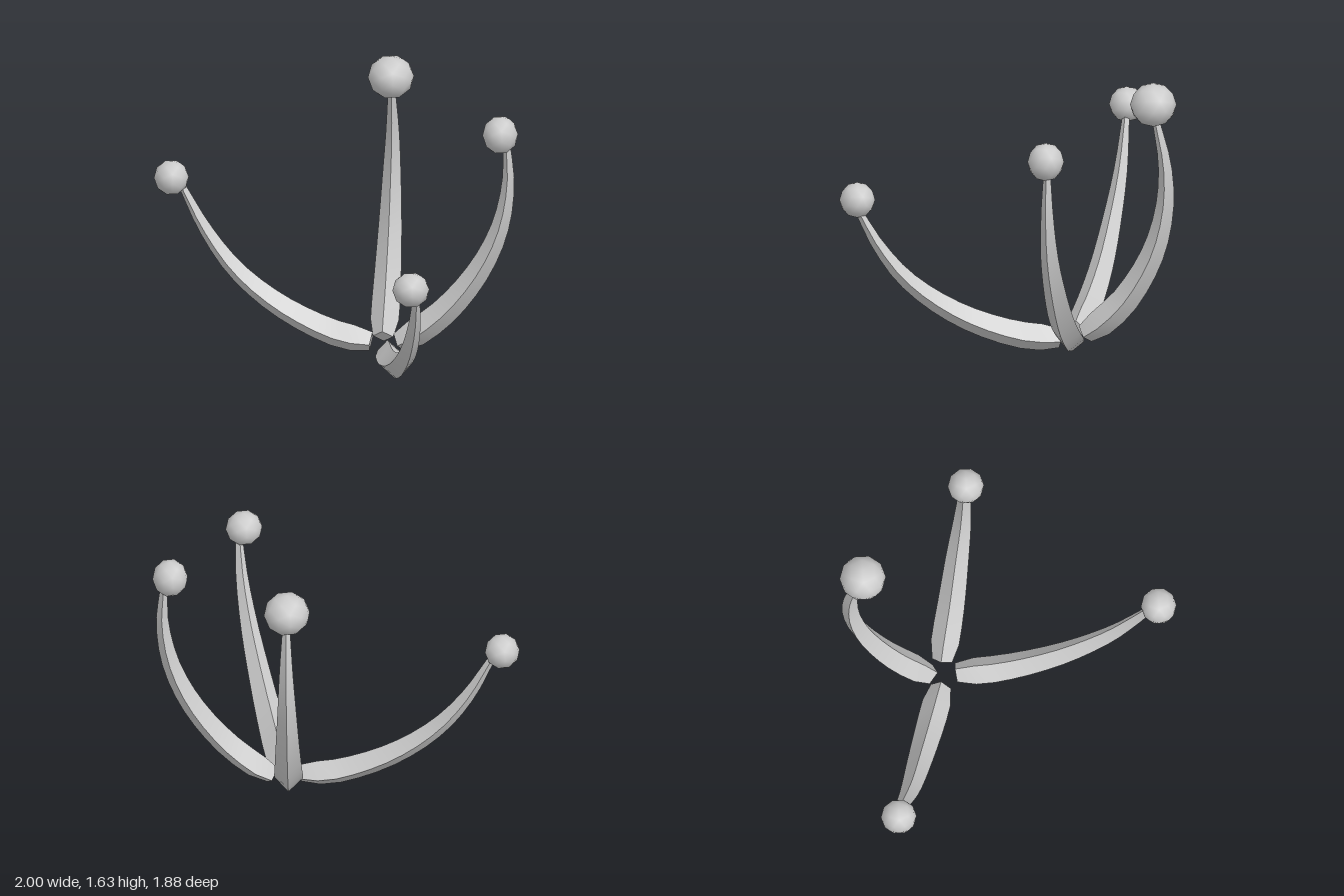
import * as THREE from 'three';

const material = new THREE.MeshStandardMaterial({ color: 0xcccccc });
const UP = new THREE.Vector3(0, 1, 0);
const RINGS = 14;

// Half thickness along a stalk: slightly pinched root, long taper to the tip
const halfWidth = (t) => (0.02 + 0.064 * (1 - Math.pow(t, 1.5))) * Math.min(1, 0.68 + t * 4);

// Tapered stalk with a diamond cross-section: sharp ridges, smooth along its length
function stalkGeometry(points) {
  const curve = new THREE.CatmullRomCurve3(points.map((p) => new THREE.Vector3(...p)));
  const along = points.at(-1).map((v, i) => v - points[0][i]);
  const side = UP.clone().cross(new THREE.Vector3(along[0], 0, along[2])).normalize();

  const rings = [];
  for (let i = 0; i <= RINGS; i++) {
    const t = i / RINGS;
    const centre = curve.getPointAt(t);
    const tangent = curve.getTangentAt(t);
    const normal = side.clone().cross(tangent).normalize();
    const r = halfWidth(t);
    rings.push([0, 1, 2, 3].map((k) => {
      const a = (k * Math.PI) / 2;
      return centre.clone()
        .addScaledVector(normal, r * Math.cos(a))
        .addScaledVector(side, r * Math.sin(a));
    }));
  }

  const positions = [];
  const index = [];
  // Four separate strips keep the ridges crisp
  for (let k = 0; k < 4; k++) {
    const base = positions.length / 3;
    rings.forEach((ring) => positions.push(...ring[k].toArray(), ...ring[(k + 1) % 4].toArray()));
    for (let i = 0; i < RINGS; i++) {
      const a = base + i * 2;
      index.push(a, a + 1, a + 3, a, a + 3, a + 2);
    }
  }
  // End caps
  for (const [ring, order] of [[rings[0], [0, 2, 1, 0, 3, 2]], [rings[RINGS], [0, 1, 2, 0, 2, 3]]]) {
    const base = positions.length / 3;
    ring.forEach((p) => positions.push(...p.toArray()));
    index.push(...order.map((o) => base + o));
  }

  const geometry = new THREE.BufferGeometry();
  geometry.setAttribute('position', new THREE.Float32BufferAttribute(positions, 3));
  geometry.setIndex(index);
  geometry.computeVertexNormals();
  return geometry;
}

// Each arm: stalk centreline from root to tip, and the ball on its end
const arms = [
  {
    name: 'rightArm',
    path: [[0.19, 0.085, -0.38], [0, 0.115, -0.435], [-0.3, 0.255, -0.52],
      [-0.545, 0.455, -0.585], [-0.715, 0.69, -0.635], [-0.85, 0.96, -0.665]],
    ball: [-0.905, 1.0, -0.67], size: [0.098, 0.1, 0.1],
  },
  {
    name: 'frontArm',
    path: [[0.275, 0.068, -0.29], [0.278, 0.095, -0.05], [0.295, 0.225, 0.28],
      [0.32, 0.44, 0.565], [0.335, 0.66, 0.73], [0.335, 0.87, 0.84]],
    ball: [0.305, 0.92, 0.845], size: [0.104, 0.1, 0.1],
  },
  {
    name: 'leftArm',
    path: [[0.345, 0.08, -0.365], [0.43, 0.135, -0.345], [0.61, 0.3, -0.3],
      [0.79, 0.555, -0.257], [0.9, 0.82, -0.225], [0.945, 1.1, -0.212], [0.935, 1.34, -0.212]],
    ball: [0.9, 1.39, -0.205], size: [0.1, 0.11, 0.102],
  },
  {
    name: 'backArm',
    path: [[0.262, 0.09, -0.43], [0.28, 0.165, -0.52], [0.305, 0.315, -0.655],
      [0.335, 0.6, -0.805], [0.35, 0.88, -0.872], [0.355, 1.14, -0.875], [0.345, 1.43, -0.82]],
    ball: [0.34, 1.505, -0.81], size: [0.13, 0.123, 0.13],
  },
];

export function createModel() {
  const model = new THREE.Group();
  model.name = 'fourBallTippedStalks';
  const ballGeometry = new THREE.IcosahedronGeometry(1, 1);

  for (const { name, path, ball, size } of arms) {
    const arm = new THREE.Group();
    arm.name = name;

    const stalk = new THREE.Mesh(stalkGeometry(path), material);
    stalk.name = 'stalk';

    const tip = new THREE.Mesh(ballGeometry, material);
    tip.name = 'tipBall';
    tip.position.set(...ball);
    tip.scale.set(...size);

    arm.add(stalk, tip);
    model.add(arm);
  }
  return model;
}
